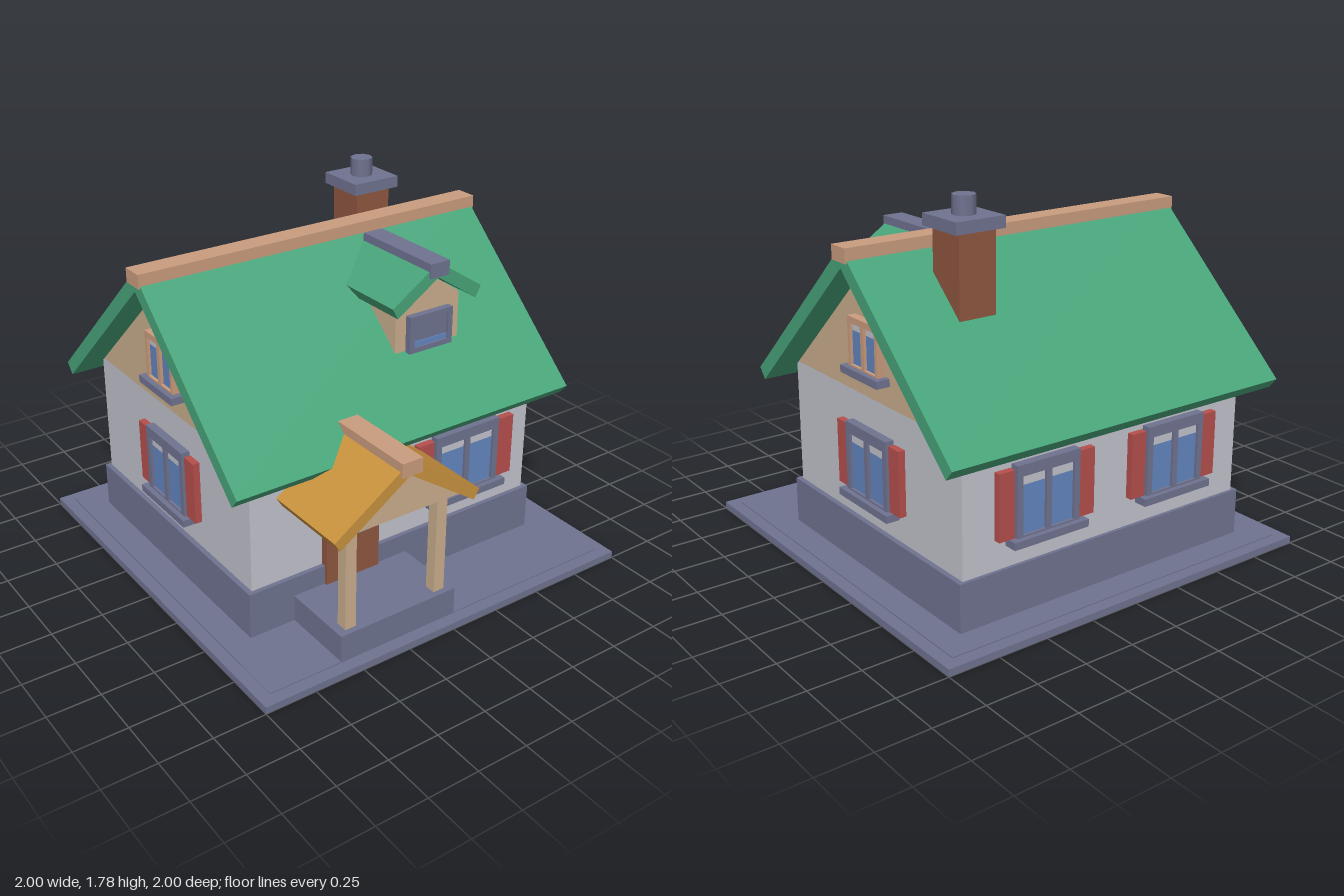
import * as THREE from 'three';

const mat = (name, color) => {
  const m = new THREE.MeshStandardMaterial({ color });
  m.name = name;
  return m;
};

export function createModel() {
  const house = new THREE.Group();
  house.name = 'house';

  const slate = mat('slate', 0x6f7390);
  const plaster = mat('plaster', 0xc2c2cc);
  const green = mat('green roof', 0x48a47a);
  const timber = mat('timber', 0xcaae8d);
  const ridgeMat = mat('ridge terracotta', 0xca9c7e);
  const brown = mat('brown', 0x8f5640);
  const red = mat('shutter red', 0xb54f4c);
  const ochre = mat('ochre roof', 0xc8923e);
  const glass = mat('glass blue', 0x6286c0);
  const tinted = mat('tinted glass', 0x687898);

  const add = (name, geo, material, parent = house) => {
    const m = new THREE.Mesh(geo, material);
    m.name = name;
    parent.add(m);
    return m;
  };
  // Box given by its min and max on each axis
  const box = (name, material, x0, x1, y0, y1, z0, z1, parent = house) => {
    const g = new THREE.BoxGeometry(x1 - x0, y1 - y0, z1 - z0);
    g.translate((x0 + x1) / 2, (y0 + y1) / 2, (z0 + z1) / 2);
    return add(name, g, material, parent);
  };
  // Outline extruded along z from z0 to z1
  const prism = (pts, z0, z1, holes = []) => {
    const s = new THREE.Shape(pts.map(p => new THREE.Vector2(...p)));
    for (const h of holes) s.holes.push(new THREE.Path(h.map(p => new THREE.Vector2(...p))));
    const g = new THREE.ExtrudeGeometry(s, { depth: z1 - z0, bevelEnabled: false });
    return g.translate(0, 0, z0);
  };
  // Pitched roof section: outer and inner eave corners, mirrored about x = 0
  const roofSection = (wo, yo, wi, yi, slope) => [
    [-wo, yo], [-wi, yi], [0, yi + wi * slope], [wi, yi], [wo, yo], [0, yo + wo * slope],
  ];
  const rect = (x0, x1, y0, y1) => [[x0, y0], [x1, y0], [x1, y1], [x0, y1]];

  // Ground slab and plinth
  box('groundSlab', slate, -1, 1, 0, 0.034, -1, 1);
  box('groundSlabTop', slate, -0.94, 0.94, 0.03, 0.039, -0.94, 0.94);
  box('plinth', slate, -0.81, 0.81, 0.03, 0.265, -0.81, 0.578);

  // Walls, gables, main roof; the ridge runs along x at z = ZC
  const ZC = -0.119;
  box('walls', plaster, -0.785, 0.785, 0.25, 0.87, ZC - 0.675, ZC + 0.675);
  const alongX = g => g.rotateY(Math.PI / 2).translate(0, 0, ZC);
  add('gables', alongX(prism([[-0.675, 0.87], [0.675, 0.87], [0, 1.49]], -0.785, 0.785)), timber);
  add('mainRoof', alongX(prism(roofSection(0.8, 0.83, 0.757, 0.78, 0.92), -0.918, 0.918)), green);
  box('mainRidge', ridgeMat, -0.927, 0.927, 1.505, 1.572, ZC - 0.054, ZC + 0.054);

  // Chimney
  box('chimneyStack', brown, 0.36, 0.55, 1.15, 1.64, -0.455, -0.262);
  box('chimneyCap', slate, 0.332, 0.584, 1.635, 1.69, -0.486, -0.236);
  add('chimneyFlue', new THREE.CylinderGeometry(0.054, 0.054, 0.09, 8), slate).position.set(0.457, 1.731, -0.361);

  // Dormer
  const dormer = new THREE.Group();
  dormer.name = 'dormer';
  dormer.position.x = 0.288;
  house.add(dormer);
  add('dormerBody', prism([[-0.181, 1.1], [0.181, 1.1], [0.181, 1.325], [0, 1.452], [-0.181, 1.325]], -0.02, 0.386), timber, dormer);
  add('dormerRoof', prism(roofSection(0.252, 1.36, 0.223, 1.307, 0.66), -0.03, 0.455), green, dormer);
  box('dormerRidge', slate, -0.053, 0.053, 1.46, 1.53, -0.035, 0.465, dormer);
  add('dormerWindowFrame', prism(rect(-0.122, 0.122, 1.095, 1.275), 0.38, 0.42,
    [rect(-0.097, 0.097, 1.12, 1.25)]), slate, dormer);
  box('dormerPanel', slate, -0.1, 0.1, 1.115, 1.255, 0.384, 0.405, dormer);
  box('dormerGlass', glass, -0.097, 0.097, 1.12, 1.145, 0.404, 0.41, dormer);

  // Porch
  const porch = new THREE.Group();
  porch.name = 'porch';
  porch.position.x = -0.267;
  house.add(porch);
  box('porchStep', slate, -0.312, 0.312, 0.03, 0.17, 0.55, 0.94, porch);
  for (const s of [-1, 1]) {
    const c = s * 0.243;
    box('porchPost', timber, c - 0.028, c + 0.028, 0.17, 0.68, 0.855, 0.911, porch);
  }
  add('porchGable', prism([[-0.305, 0.668], [0.305, 0.668], [0, 0.885]], 0.54, 0.945), timber, porch);
  add('porchRoof', prism(roofSection(0.383, 0.69, 0.354, 0.643, 0.68), 0.5, 0.988), ochre, porch);
  box('porchRidge', ridgeMat, -0.053, 0.053, 0.888, 0.957, 0.5, 1, porch);

  // Door
  box('door', brown, -0.145, 0.145, 0.17, 0.67, 0.54, 0.592, porch);
  box('doorPane', tinted, -0.086, 0.086, 0.43, 0.585, 0.59, 0.597, porch);
  box('doorGlass', glass, -0.086, 0.086, 0.386, 0.43, 0.59, 0.597, porch);

  // Window facing +z, with its wall at z = 0 and its frame bottom at y = 0
  const makeWindow = (name, w, h, o) => {
    const g = new THREE.Group();
    g.name = name;
    const a = w / 2, b = o.border, top = h - o.topBorder;
    const panes = [[-a + b, -o.bar], [o.bar, a - b]];
    add('windowFrame', prism(rect(-a, a, 0, h), -0.01, 0.042,
      panes.map(([l, r]) => rect(l, r, 0.015, top))), o.frame, g);
    for (const [l, r] of panes) {
      box('windowPane', glass, l, r, 0.015, top - o.blind, 0.02, 0.028, g);
      box('windowBlind', plaster, l, r, top - o.blind, top, 0.02, 0.028, g);
    }
    box('windowSill', slate, -o.sill / 2, o.sill / 2, -0.028, 0.007, -0.01, 0.067, g);
    if (o.shutter) for (const s of [-1, 1]) {
      const c = s * (a + 0.008 + o.shutter / 2);
      box('shutter', red, c - o.shutter / 2, c + o.shutter / 2, 0.01, 0.318, -0.01, 0.033, g);
    }
    house.add(g);
    return g;
  };
  const large = { frame: slate, border: 0.03, topBorder: 0.052, bar: 0.014, blind: 0.045, sill: 0.447, shutter: 0.09 };
  const medium = { ...large, sill: 0.4, shutter: 0.08 };
  const small = { frame: ridgeMat, border: 0.018, topBorder: 0.03, bar: 0.013, blind: 0.035, sill: 0.3 };

  makeWindow('frontWindow', 0.375, 0.335, large).position.set(0.386, 0.394, ZC + 0.675);
  for (const s of [-1, 1]) {
    const back = makeWindow('backWindow', 0.336, 0.335, medium);
    back.position.set(s * 0.365, 0.394, ZC - 0.675);
    back.rotation.y = Math.PI;
    const side = makeWindow('sideWindow', 0.336, 0.335, medium);
    side.position.set(s * 0.785, 0.394, ZC);
    side.rotation.y = s * Math.PI / 2;
    const attic = makeWindow('gableWindow', 0.235, 0.235, small);
    attic.position.set(s * 0.785, 0.996, ZC);
    attic.rotation.y = s * Math.PI / 2;
  }
  return house;
}
